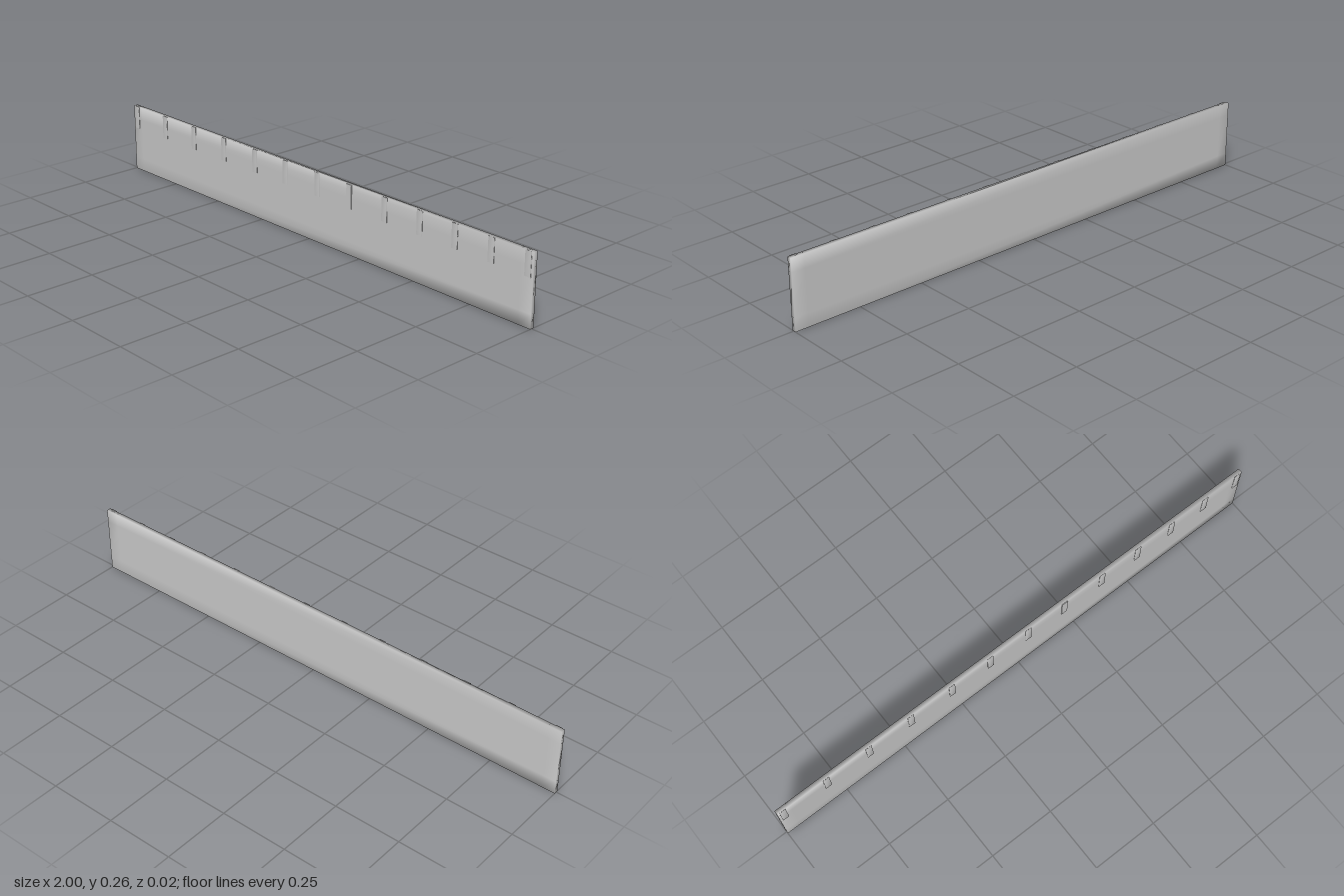
import * as THREE from 'three';
import { mergeVertices } from 'three/addons/utils/BufferGeometryUtils.js';

const HEIGHT = 0.256;
const BACK = -0.0095, FACE = 0.0068, RIB_FACE = 0.0095;

// Share corners so the normals blend softly around the edges
function soften(geometry) {
  geometry.deleteAttribute('normal');
  geometry.deleteAttribute('uv');
  const merged = mergeVertices(geometry, 1e-5);
  merged.computeVertexNormals();
  return merged;
}

// Flat plate with an inset loop close to its border
function plateGeometry(width, height, depth, inset) {
  const geometry = new THREE.BoxGeometry(width, height, depth, 3, 3, 1);
  const p = geometry.attributes.position;
  const slide = (v, size) =>
    Math.abs(v) < size * 0.4 ? Math.sign(v) * (size / 2 - inset) : v;
  for (let i = 0; i < p.count; i++) {
    p.setX(i, slide(p.getX(i), width));
    p.setY(i, slide(p.getY(i), height));
  }
  return soften(geometry);
}

export function createModel() {
  const group = new THREE.Group();
  const material = new THREE.MeshStandardMaterial({ color: 0xcccccc });

  // Long thin board
  const board = new THREE.Mesh(plateGeometry(2, HEIGHT, FACE - BACK, 0.05), material);
  board.name = 'board';
  board.position.set(0, HEIGHT / 2, (FACE + BACK) / 2);
  group.add(board);

  // Short ribs hanging from the top edge of the front face
  const ribs = new THREE.Group();
  ribs.name = 'ribs';
  const ribHeight = 0.086, ribWidth = 0.024, ribDepth = RIB_FACE - FACE + 0.002;
  const sharpRib = new THREE.BoxGeometry(ribWidth, ribHeight, ribDepth);
  const softRib = soften(sharpRib.clone());
  const crispIndex = 7;
  const centres = [-0.98, -0.805, -0.632, -0.458, -0.285, -0.122, 0.042,
    0.2, 0.367, 0.527, 0.68, 0.832, 0.98];
  centres.forEach((x, i) => {
    const rib = new THREE.Mesh(i === crispIndex ? sharpRib : softRib, material);
    rib.name = 'rib';
    rib.position.set(x, HEIGHT - ribHeight / 2, RIB_FACE - ribDepth / 2);
    ribs.add(rib);
  });
  group.add(ribs);
  return group;
}
